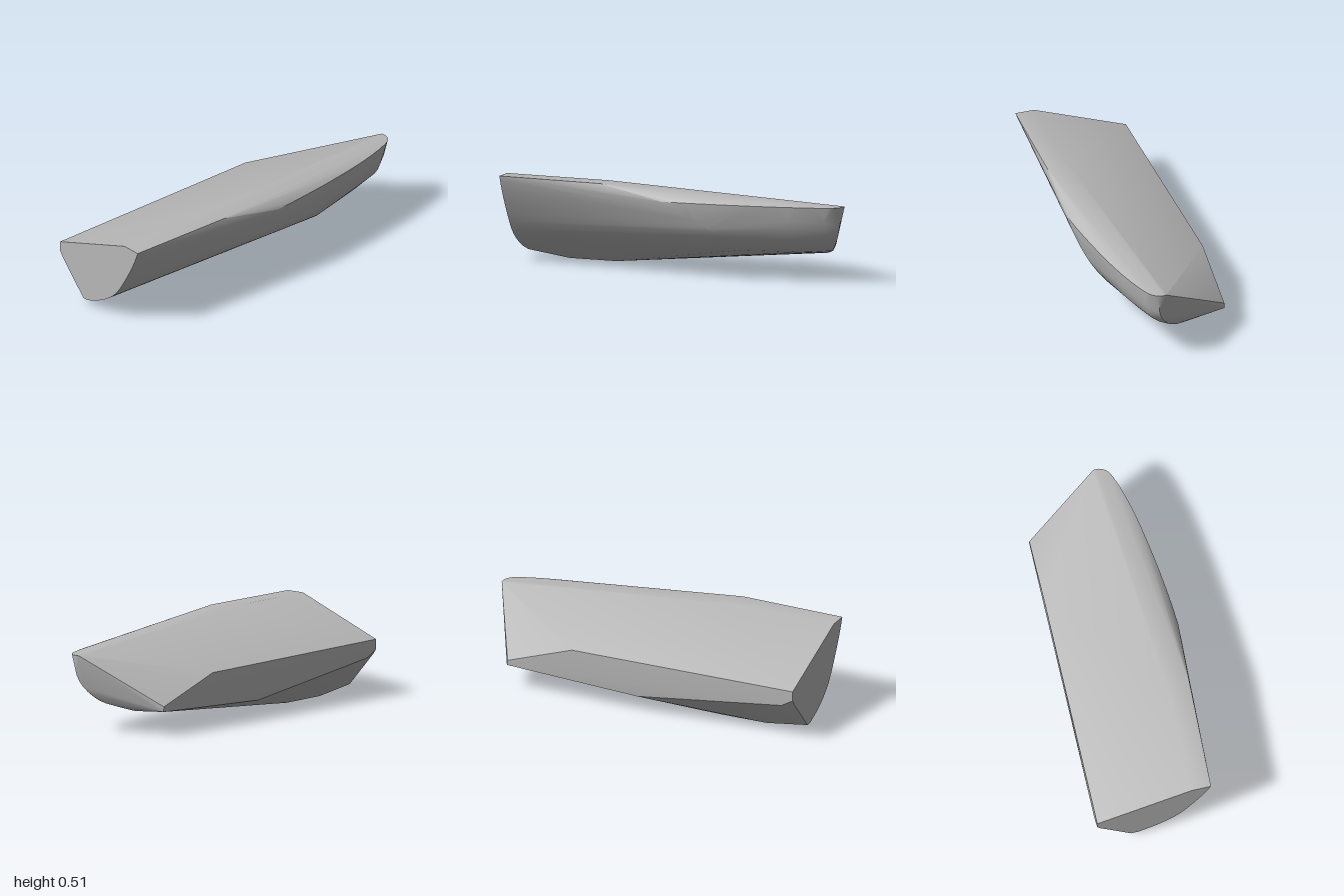
import * as THREE from 'three';
import { ConvexGeometry } from 'three/addons/geometries/ConvexGeometry.js';
import { toCreasedNormals } from 'three/addons/utils/BufferGeometryUtils.js';

const V = (p) => new THREE.Vector3(...p);
// Smooth run of points through a few control points
const curve = (points, n) => new THREE.CatmullRomCurve3(points.map(V), false, 'centripetal').getPoints(n);

export function createModel() {
  const grey = new THREE.MeshStandardMaterial({ color: 0xb8b8b8 });
  grey.name = 'stone grey';

  // Flat front end: straight top and left, curved right side
  const frontEnd = [
    ...[[-0.35, 0.31, 1], [0.19, 0.51, 1], [-0.155, 0.033, 1], [-0.33, 0.225, 1], [-0.35, 0.255, 1]].map(V),
    ...curve([[0.3, 0.51, 1], [0.27, 0.435, 1], [0.2, 0.302, 1], [0.11, 0.168, 1], [0, 0.085, 1], [-0.115, 0.035, 1]], 14),
  ];

  // Flat top, ending where it begins to fall towards the back
  const top = [[0.325, 0.51, 0.38], [0.2, 0.51, 0.38], [-0.333, 0.305, -0.365]].map(V);

  // Right rim running round to the back tip
  const rim = curve([[0.35, 0.435, 0], [0.34, 0.435, -0.15], [0.31, 0.435, -0.42], [0.26, 0.435, -0.72],
    [0.2, 0.435, -0.93], [0.17, 0.435, -0.98], [0.13, 0.435, -1], [0.1, 0.435, -1]], 21);

  // Flat left side and lower left edge
  const left = [[-0.35, 0.215, 0.93], [-0.325, 0.095, 0.03], [-0.322, 0.137, -0.77], [-0.322, 0.165, -0.765]].map(V);

  // Keel
  const keel = [[-0.155, 0, 0.75], [-0.12, 0, 0.75], [-0.155, 0, 0.47], [-0.12, 0, 0.47], [-0.05, 0.033, 0.6],
    [0, 0.06, 0.4], [-0.14, 0.125, -0.8]].map(V);

  // Rounded right flank and back end
  const flank = [
    ...curve([[0.35, 0.435, 0], [0.335, 0.36, -0.12], [0.315, 0.3, -0.25], [0.28, 0.245, -0.33],
      [0.225, 0.19, -0.4], [0.185, 0.165, -0.42]], 12),
    ...curve([[0.26, 0.435, -0.72], [0.245, 0.335, -0.71], [0.205, 0.245, -0.71], [0.11, 0.17, -0.73], [-0.14, 0.125, -0.8]], 10),
    ...curve([[0.2, 0.435, -0.93], [0.19, 0.33, -0.91], [0.15, 0.24, -0.9], [0.03, 0.175, -0.9], [-0.14, 0.125, -0.8]], 10),
    ...curve([[0.13, 0.435, -1], [0.135, 0.33, -0.985], [0.1, 0.245, -0.955], [0.03, 0.175, -0.9]], 8),
  ];

  const hull = new ConvexGeometry([...frontEnd, ...top, ...rim, ...left, ...keel, ...flank]);
  const block = new THREE.Mesh(toCreasedNormals(hull, 0.5), grey);
  block.name = 'block';

  const model = new THREE.Group();
  model.name = 'carved block';
  model.add(block);
  return model;
}
